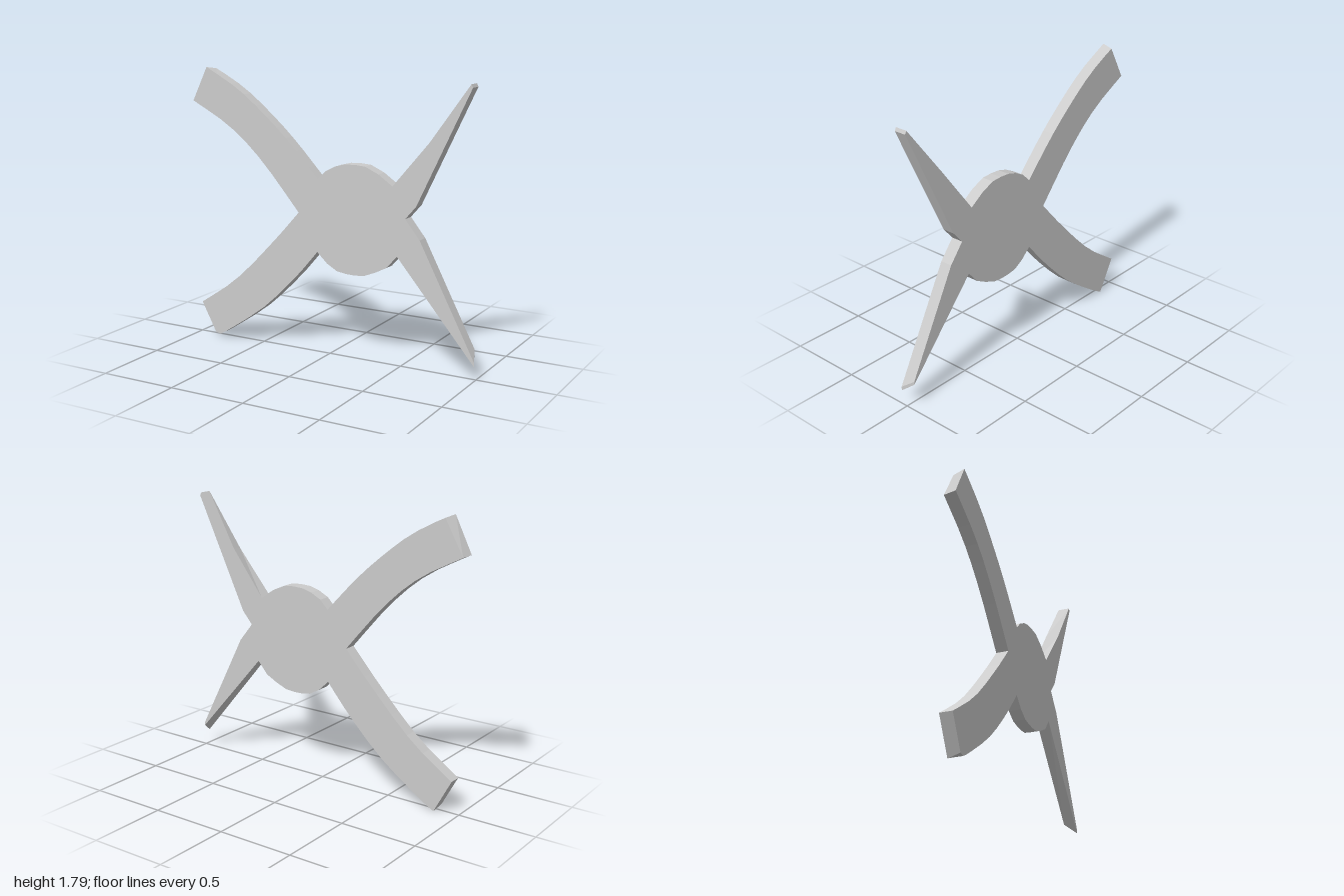
import * as THREE from 'three';

const DEPTH = 0.08;
const pts = (list) => list.map(([x, y]) => new THREE.Vector2(x, y));

export function createModel() {
  const group = new THREE.Group();
  group.name = 'fourArmedPlate';

  // One closed outline, counter-clockwise, starting between the two curved arms
  const outline = new THREE.Shape();
  const curve = (...p) => outline.splineThru(pts(p));
  const lines = (...p) => p.forEach(([x, y]) => outline.lineTo(x, y));
  outline.moveTo(-0.205, 0.905);

  // lower curved arm
  curve([-0.404, 0.687], [-0.687, 0.41], [-0.965, 0.217]);
  lines([-0.848, 0.0]);
  curve([-0.75, 0.056], [-0.473, 0.249], [-0.233, 0.479], [-0.07, 0.666]);
  // underside of the round hub
  lines([0, 0.6], [0.07, 0.56], [0.135, 0.55], [0.195, 0.548], [0.26, 0.553], [0.34, 0.585], [0.415, 0.623], [0.485, 0.703]);
  // lower spike
  lines([1.0, 0.094], [1.0, 0.12], [0.634, 0.82], [0.537, 0.94]);
  // upper spike
  lines([0.607, 1.02], [0.95, 1.74], [0.94, 1.76], [0.676, 1.425], [0.45, 1.13]);
  // top of the hub
  lines([0.355, 1.195], [0.265, 1.235], [0.195, 1.24], [0.125, 1.237], [0.06, 1.22], [-0.01, 1.185], [-0.065, 1.13]);
  // upper curved arm
  curve([-0.26, 1.335], [-0.436, 1.495], [-0.65, 1.66], [-0.89, 1.79]);
  lines([-1.0, 1.57]);
  curve([-0.714, 1.415], [-0.473, 1.21], [-0.205, 0.905]);

  const geometry = new THREE.ExtrudeGeometry(outline, { depth: DEPTH, bevelEnabled: false, curveSegments: 2 });
  geometry.translate(0, 0, -DEPTH / 2);

  // Slanted arm ends: [corner x, y, side of the plate, shift x, y]
  const slants = [
    [1.0, 0.094, -1, -0.03, 0.06], [1.0, 0.12, -1, -0.03, 0.055],
    [-0.848, 0, 1, -0.01, 0.02], [-0.89, 1.79, -1, 0.02, -0.012],
    [-1.0, 1.57, -1, 0.01, -0.005], [0.676, 1.425, 1, 0.012, -0.015],
  ];
  const pos = geometry.attributes.position;
  for (let i = 0; i < pos.count; i++) {
    const x = pos.getX(i), y = pos.getY(i), z = pos.getZ(i);
    for (const [cx, cy, side, dx, dy] of slants) {
      if (z * side > 0 && Math.hypot(x - cx, y - cy) < 0.005) pos.setXY(i, x + dx, y + dy);
    }
  }
  geometry.computeVertexNormals();

  const plate = new THREE.Mesh(geometry, new THREE.MeshStandardMaterial({ color: 0xcccccc, flatShading: true }));
  plate.name = 'hubWithArms';
  group.add(plate);
  return group;
}
